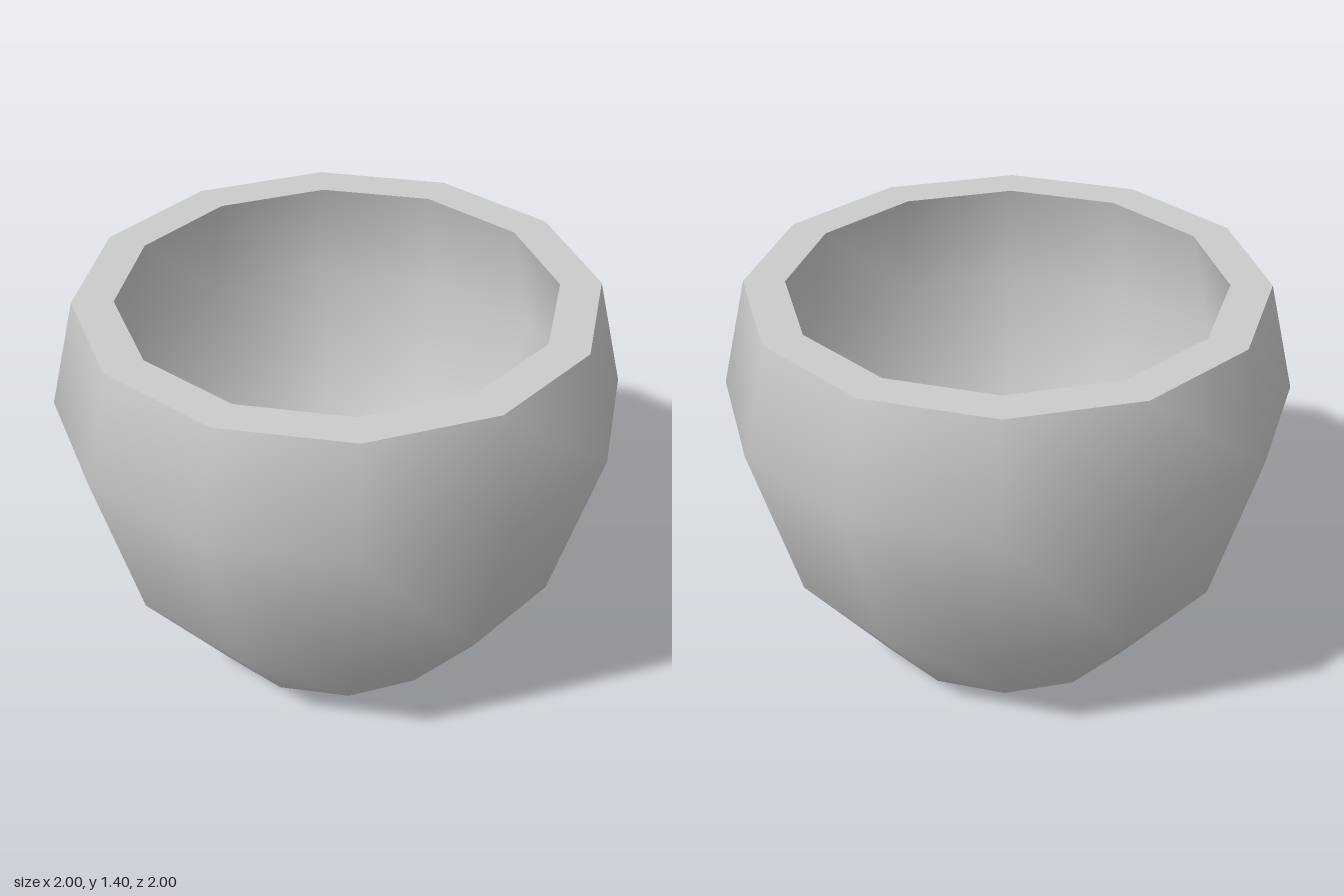
import * as THREE from 'three';

const SIDES = 12;

// Profiles as [radius, height]; they run on from base, up the outside, over the rim and down inside.
const PROFILES = {
  base: [[0, 0], [0.49, 0]],
  outerWall: [[0.49, 0], [0.82, 0.4], [1, 1], [0.91, 1.4]],
  rim: [[0.91, 1.4], [0.765, 1.4]],
  innerWall: [[0.765, 1.4], [0.855, 1], [0.69, 0.47], [0.405, 0.14]],
  innerFloor: [[0.405, 0.14], [0, 0.14]],
};

export function createModel() {
  const bowl = new THREE.Group();
  bowl.name = 'bowl';
  const material = new THREE.MeshStandardMaterial({ color: 0xcccccc });

  // Each section is its own lathe: smooth within, with hard edges where sections meet
  for (const [name, profile] of Object.entries(PROFILES)) {
    const points = profile.map(([r, y]) => new THREE.Vector2(r, y));
    const mesh = new THREE.Mesh(new THREE.LatheGeometry(points, SIDES), material);
    mesh.name = name;
    bowl.add(mesh);
  }
  return bowl;
}
